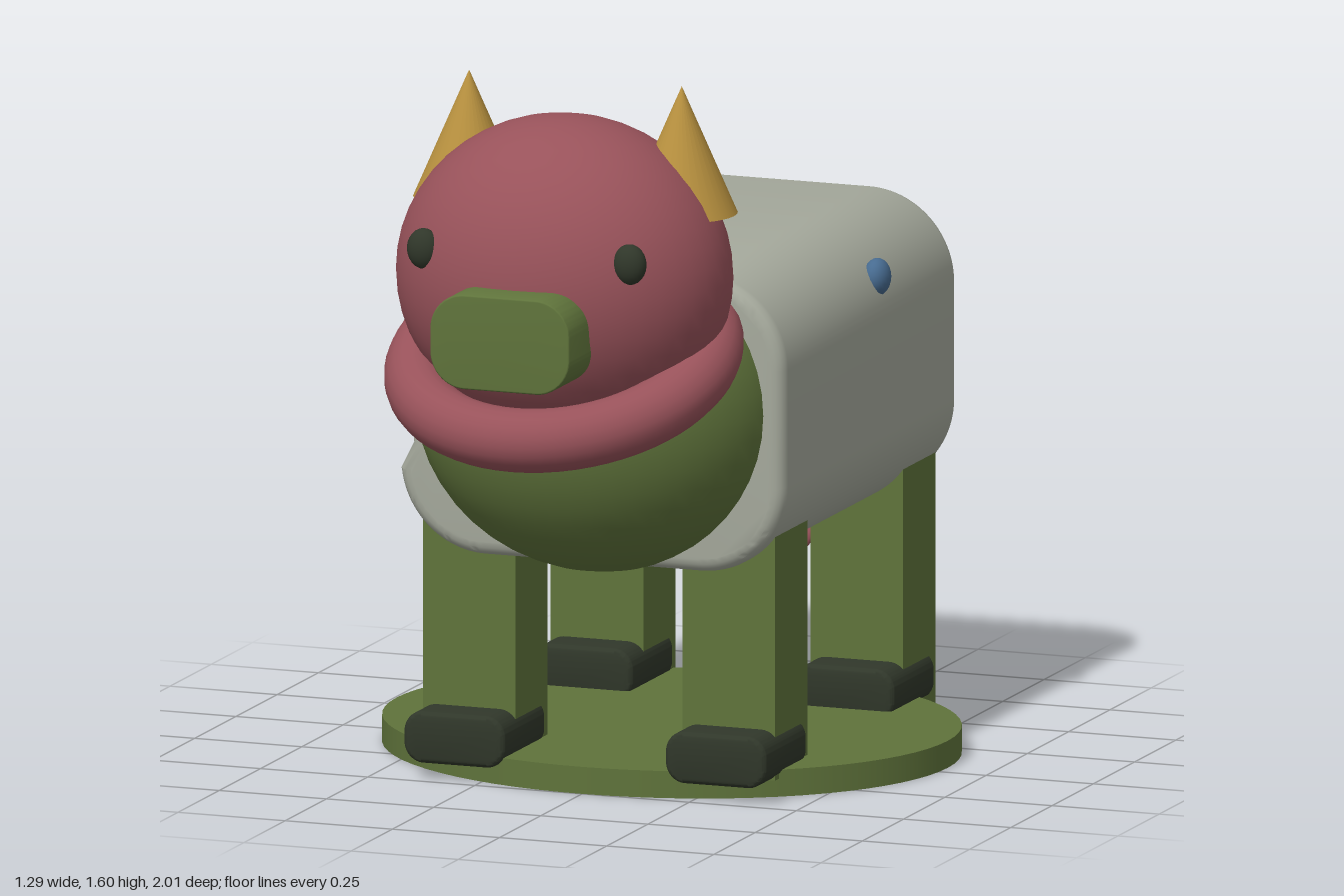
import * as THREE from 'three';
import { toCreasedNormals } from 'three/addons/utils/BufferGeometryUtils.js';

const material = (name, color) => {
  const m = new THREE.MeshStandardMaterial({ color });
  m.name = name;
  return m;
};

export function createModel() {
  const model = new THREE.Group();
  model.name = 'hornedAnimal';
  const red = material('dusty red', 0x98525a);
  const green = material('moss green', 0x5f733b);
  const grey = material('stone grey', 0xa5a99c);
  const dark = material('dark olive', 0x30372a);
  const gold = material('gold', 0xb8913f);
  const blue = material('blue', 0x476b90);

  const add = (name, geometry, mat, x, y, z) => {
    const mesh = new THREE.Mesh(geometry, mat);
    mesh.name = name;
    mesh.position.set(x, y, z);
    model.add(mesh);
    return mesh;
  };
  const ellipsoid = (rx, ry, rz, seg = 48) =>
    new THREE.SphereGeometry(1, seg, seg / 2).scale(rx, ry, rz);

  // Extrusion centred on z, with a small bevel kept inside the outline
  const extrude = (shape, depth, bevel) => toCreasedNormals(
    new THREE.ExtrudeGeometry(shape, {
      depth: depth - 2 * bevel, bevelSize: bevel, bevelThickness: bevel,
      bevelOffset: -bevel, bevelSegments: 4, curveSegments: 12,
    }).translate(0, 0, bevel - depth / 2), 0.6);

  const roundedRect = (w, h, r) => {
    const s = new THREE.Shape();
    const x = w / 2 - r, y = h / 2 - r;
    s.absarc(x, y, r, 0, Math.PI / 2);
    s.absarc(-x, y, r, Math.PI / 2, Math.PI);
    s.absarc(-x, -y, r, Math.PI, Math.PI * 1.5);
    s.absarc(x, -y, r, Math.PI * 1.5, Math.PI * 2);
    s.closePath();
    return s;
  };

  // Oval stand
  add('base', new THREE.CylinderGeometry(1, 1, 0.06, 72).scale(0.643, 1, 0.545),
    green, 0, 0.03, -0.045);

  // Barrel body, with a ledge running along the right flank
  const section = new THREE.Shape();
  section.absarc(0.25, 0.13, 0.2, 0, Math.PI / 2);
  section.absarc(-0.25, 0.13, 0.2, Math.PI / 2, Math.PI);
  section.lineTo(-0.42, -0.09);
  section.lineTo(-0.45, -0.15);
  section.absarc(-0.25, -0.13, 0.2, Math.PI * 1.04, Math.PI * 1.5);
  section.absarc(0.25, -0.13, 0.2, Math.PI * 1.5, Math.PI * 2);
  section.closePath();
  add('body', extrude(section, 1.06, 0.03), grey, 0, 0.83, -0.08);

  // Chest, head, collar and snout
  add('chest', ellipsoid(0.41, 0.38, 0.36), green, 0, 0.86, 0.39);
  add('head', ellipsoid(0.375, 0.35, 0.315), red, 0, 1.18, 0.605);
  const collar = add('collar', new THREE.TorusGeometry(0.325, 0.07, 20, 64),
    red, 0, 0.99, 0.61);
  collar.rotation.x = Math.PI / 2 + 0.39;
  add('snout', extrude(roundedRect(0.325, 0.21, 0.08), 0.3, 0.004),
    green, 0, 1.095, 0.85);

  const hoof = extrude(roundedRect(0.235, 0.115, 0.045), 0.255, 0.012);
  for (const [side, s] of [['left', 1], ['right', -1]]) {
    add(side + 'Eye', ellipsoid(0.038, 0.045, 0.03, 24), dark, s * 0.24, 1.26, 0.835);
    add(side + 'Horn', new THREE.ConeGeometry(0.122, 0.28, 32),
      gold, s * 0.248, 1.46, 0.54);
    add(side + 'Stud', ellipsoid(0.03, 0.042, 0.04, 24), blue, s * 0.428, 1.05, -0.175);

    // Square legs, each with a hoof pushed forward
    for (const [end, z, bottom] of [['Front', 0.3, 0.04], ['Back', -0.475, 0.02]]) {
      add(side + end + 'Leg', new THREE.BoxGeometry(0.216, 0.587 - bottom, 0.195),
        green, s * 0.303, (0.587 + bottom) / 2, z);
      add(side + end + 'Hoof', hoof, dark, s * 0.305, 0.094, z + 0.06);
    }
  }

  // Flattened tail: round tube and end caps, squashed in height
  const squash = 0.3, radius = 0.065;
  const path = new THREE.CatmullRomCurve3([
    [0, 0.293, -0.57], [0, 0.327, -0.7], [0.012, 0.367, -0.82], [0.074, 0.418, -0.953],
  ].map(([x, y, z]) => new THREE.Vector3(x, y / squash, z)));
  const tail = new THREE.Group();
  tail.name = 'tail';
  tail.scale.y = squash;
  const tube = new THREE.Mesh(new THREE.TubeGeometry(path, 32, radius, 24), red);
  tube.name = 'tailTube';
  tail.add(tube);
  for (const [t, dir] of [[0, -1], [1, 1]]) {
    const cap = new THREE.Mesh(new THREE.CircleGeometry(radius, 24), red);
    cap.name = t ? 'tailTip' : 'tailRoot';
    cap.position.copy(path.getPointAt(t));
    cap.quaternion.setFromUnitVectors(new THREE.Vector3(0, 0, 1),
      path.getTangentAt(t).multiplyScalar(dir));
    tail.add(cap);
  }
  model.add(tail);

  return model;
}
